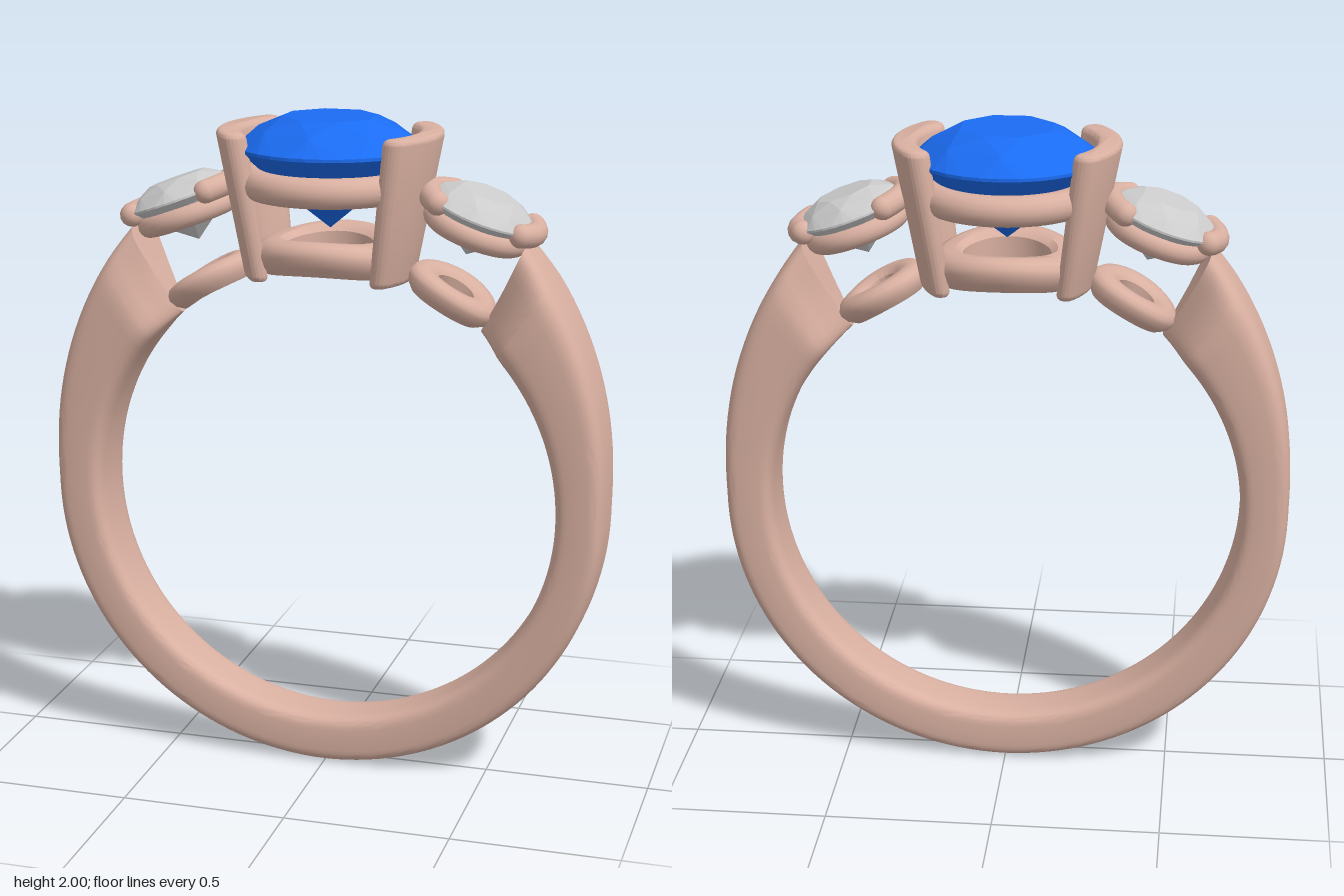
import * as THREE from 'three';
import { toCreasedNormals } from 'three/addons/utils/BufferGeometryUtils.js';
import { ConvexGeometry } from 'three/addons/geometries/ConvexGeometry.js';

const metal = new THREE.MeshStandardMaterial({ color: 0xd9b0a1 });
const blue = new THREE.MeshStandardMaterial({ color: 0x1b6cf2, flatShading: true });
const clear = new THREE.MeshStandardMaterial({ color: 0xcccccc, flatShading: true });

const FINGER_R = 0.705, FINGER_Y = 0.855;
const rad = THREE.MathUtils.degToRad;

function add(parent, name, geometry, material = metal) {
  const mesh = new THREE.Mesh(geometry, material);
  mesh.name = name;
  parent.add(mesh);
  return mesh;
}

// Move every vertex of a geometry by a rule
function deform(geometry, rule) {
  const p = geometry.attributes.position, v = new THREE.Vector3();
  for (let i = 0; i < p.count; i++) {
    rule(v.fromBufferAttribute(p, i));
    p.setXYZ(i, v.x, v.y, v.z);
  }
  geometry.computeVertexNormals();
  return geometry;
}

// Open shank: rounded sections swept round the finger, thicker towards the top,
// with its two ends chamfered like a prow
function shankGeometry() {
  const N = 120, M = 40, pos = [], idx = [];
  const pow = (c) => Math.sign(c) * Math.abs(c) ** 0.45;
  for (let i = 0; i <= N; i++) {
    const t = (i / N) * 2 - 1;
    for (let j = 0; j < M; j++) {
      const th = (j / M) * Math.PI * 2;
      const u = pow(Math.cos(th)), v = (pow(Math.sin(th)) + 1) / 2;
      const deg = Math.abs(t) * (139.3 + 4 * v);
      const a = rad(deg) * Math.sign(t);
      const flare = Math.max(0, (deg - 90) / 53.3) ** 1.5;
      const outer = 0.855 - 0.005 * Math.min(1, deg / 90) + 0.15 * flare;
      const r = FINGER_R + (outer - FINGER_R) * v;
      const cut = Math.max(0, (Math.abs(t) - 0.945) / 0.055);
      const half = (0.09 + 0.06 * (1 - Math.cos(a)) / 2) * (1 - cut * (0.25 + 0.55 * (1 - v)));
      pos.push(r * Math.sin(a), FINGER_Y - r * Math.cos(a), u * half);
    }
  }
  for (let i = 0; i < N; i++) for (let j = 0; j < M; j++) {
    const a = i * M + j, b = i * M + (j + 1) % M;
    idx.push(a, b, a + M, b, b + M, a + M);
  }
  for (let j = 1; j < M - 1; j++) {
    const e = N * M;
    idx.push(0, j + 1, j, e, e + j, e + j + 1);
  }
  const g = new THREE.BufferGeometry();
  g.setAttribute('position', new THREE.Float32BufferAttribute(pos, 3));
  g.setIndex(idx);
  return toCreasedNormals(g, 0.5);
}

// Faceted round stone with its girdle at y = 0
function gemGeometry(R, crown, depth) {
  const pts = [new THREE.Vector3(0, -depth, 0)];
  const circle = (n, r, y, shift = 0) => {
    for (let i = 0; i < n; i++) {
      const a = ((i + shift) / n) * Math.PI * 2;
      pts.push(new THREE.Vector3(r * Math.cos(a), y, r * Math.sin(a)));
    }
  };
  circle(8, R * 0.52, crown, 0.5);
  circle(8, R * 0.8, crown * 0.62);
  circle(32, R, crown * 0.1);
  circle(32, R, 0);
  circle(8, R * 0.4, -depth * 0.63, 0.5);
  return new ConvexGeometry(pts);
}

// Base ring whose underside follows the finger; y = 0 lies on the finger circle
function baseRingGeometry(inner, outer, h) {
  const w = outer - inner;
  const profile = [[0, 0], [0.63, 0], [0.88, 0.28], [1, 0.6], [0.97, 0.78], [0.84, 0.94],
    [0.55, 1], [0.2, 0.95], [0, 0.75], [0, 0]]
    .map(([r, y]) => new THREE.Vector2(inner + r * w, y * h));
  const g = deform(new THREE.LatheGeometry(profile, 56), (v) => {
    v.y += Math.sqrt(FINGER_R ** 2 - v.x ** 2) - FINGER_R;
  });
  return toCreasedNormals(g, 0.75);
}

// Tall curved bar holding the centre stone, leaning outwards as part of a cone
function barGeometry() {
  const Rm = 0.2975, hw = 0.0375, A = 0.62;
  const s = new THREE.Shape();
  s.absarc(0, 0, Rm + hw, -A, A, false);
  s.absarc(Rm * Math.cos(A), Rm * Math.sin(A), hw, A, A + Math.PI, false);
  s.absarc(0, 0, Rm - hw, A, -A, true);
  s.absarc(Rm * Math.cos(A), -Rm * Math.sin(A), hw, Math.PI - A, 2 * Math.PI - A, false);
  const b = 0.018, height = 0.44;
  const g = new THREE.ExtrudeGeometry(s, {
    depth: height - 2 * b, curveSegments: 16, bevelEnabled: true,
    bevelSize: b, bevelThickness: b, bevelOffset: -b, bevelSegments: 4,
  });
  g.rotateX(-Math.PI / 2).translate(0, b, 0);
  deform(g, (v) => {
    const k = 0.75 + 0.25 * (v.y / height);
    v.x *= k;
    v.z *= k;
  });
  return toCreasedNormals(g.translate(0, 1.525, 0), 0.7);
}

// Curved claw with round ends, centred on the +x side
function addClaw(parent, name, R, tube, half, turn) {
  const claw = new THREE.Group();
  claw.name = name;
  const arc = new THREE.TorusGeometry(R, tube, 14, 24, half * 2);
  add(claw, 'clawArc', arc.rotateZ(-half).rotateX(Math.PI / 2));
  for (const s of [-1, 1]) {
    add(claw, 'clawEnd', new THREE.SphereGeometry(tube, 16, 12))
      .position.set(R * Math.cos(half), 0, s * R * Math.sin(half));
  }
  claw.rotation.y = turn;
  parent.add(claw);
}

const hoop = (R, tube) => new THREE.TorusGeometry(R, tube, 16, 56).rotateX(Math.PI / 2);

export function createModel() {
  const ring = new THREE.Group();
  ring.name = 'threeStoneRing';
  add(ring, 'shank', shankGeometry());

  // Centre setting
  add(ring, 'centreStone', gemGeometry(0.273, 0.095, 0.235), blue).position.y = 1.905;
  add(ring, 'centreSeatRing', hoop(0.23, 0.045)).position.y = 1.81;
  add(ring, 'centreBaseRing', baseRingGeometry(0.13, 0.226, 0.1)).position.y = FINGER_Y + FINGER_R;

  // Each side: bar, side stone and its setting
  for (const turn of [0, Math.PI]) {
    const side = new THREE.Group();
    side.name = turn ? 'rightSetting' : 'leftSetting';
    side.rotation.y = turn;
    add(side, 'centreBar', barGeometry());

    const head = new THREE.Group();
    head.name = 'sideHead';
    head.position.set(0.455, 1.74, 0);
    head.rotation.z = rad(-20);
    add(head, 'sideStone', gemGeometry(0.167, 0.06, 0.135), clear);
    add(head, 'sideSeatRing', hoop(0.127, 0.034)).position.y = -0.05;
    addClaw(head, 'outerClaw', 0.165, 0.035, 0.55, 0);
    addClaw(head, 'innerClaw', 0.16, 0.035, 0.78, Math.PI);
    side.add(head);

    const lean = rad(30);
    const base = add(side, 'sideBaseRing', baseRingGeometry(0.06, 0.145, 0.078));
    base.position.set(FINGER_R * Math.sin(lean), FINGER_Y + FINGER_R * Math.cos(lean), 0);
    base.rotation.z = -lean;
    ring.add(side);
  }
  return ring;
}
